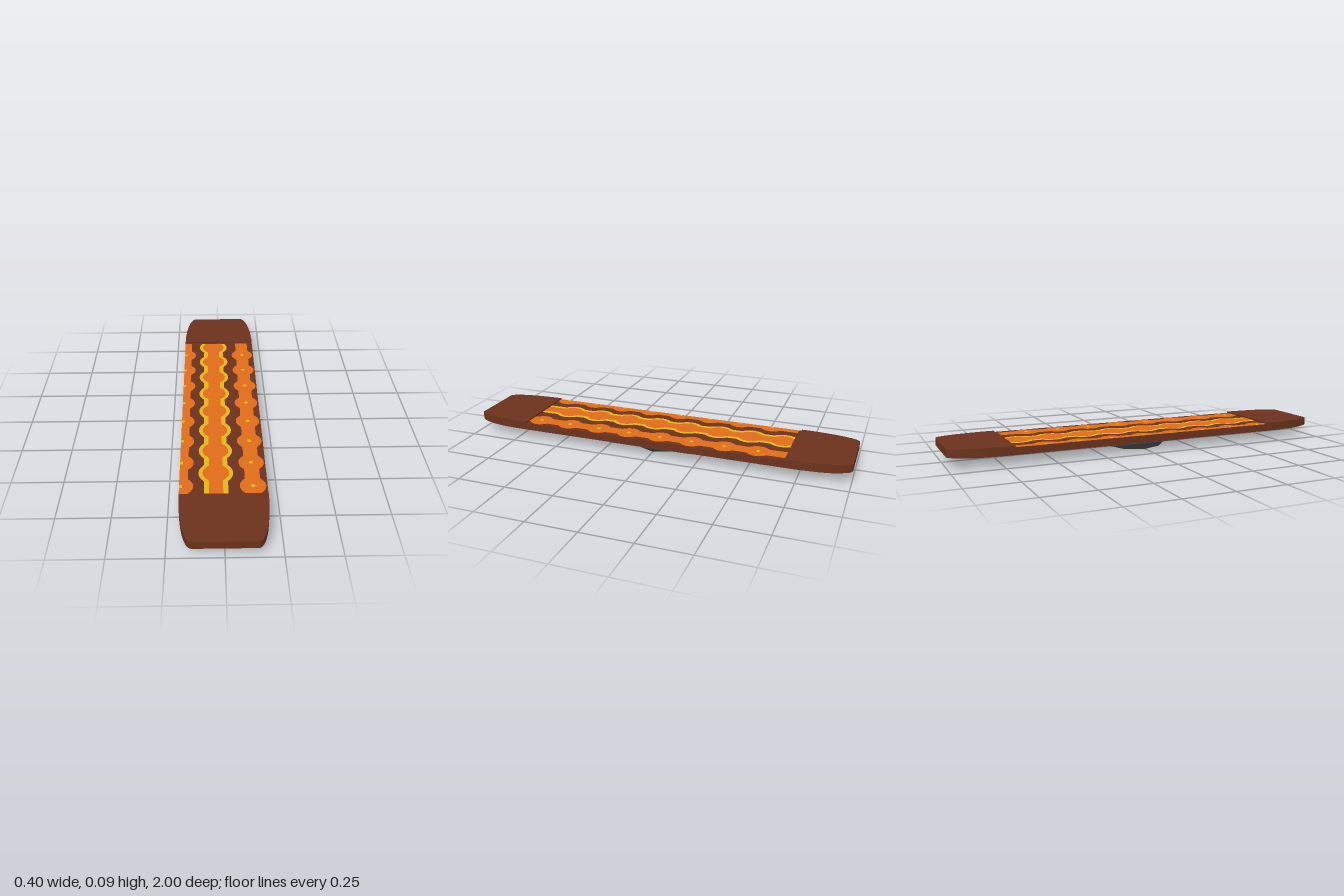
import * as THREE from 'three';

const brown = new THREE.MeshStandardMaterial({ color: 0x6b321c });
brown.name = 'brown wood';
const orange = new THREE.MeshStandardMaterial({ color: 0xe06c18 });
orange.name = 'orange paint';
const yellow = new THREE.MeshStandardMaterial({ color: 0xe4b41a });
yellow.name = 'yellow paint';
const grey = new THREE.MeshStandardMaterial({ color: 0x525252 });
grey.name = 'dark grey';

const BOTTOM = 0.048, DECK = 0.085, TOP = 0.092, PAINT = 0.0006;
const HALF_WIDTH = 0.2, CAP_START = 0.7, PITCH = 0.1695;

// Half width of the board: straight sides, elliptical shoulders at both ends
const edge = (z) => {
  const t = Math.max(0, (Math.abs(z) - CAP_START) / (1 - CAP_START));
  return 0.14 + 0.06 * Math.sqrt(Math.max(0, 1 - t * t));
};

// Horizontal slab between a left and a right edge given as functions of z
function slab(zs, left, right, y, height) {
  const outline = [
    ...zs.map((z) => new THREE.Vector2(left(z), -z)),
    ...zs.slice().reverse().map((z) => new THREE.Vector2(right(z), -z)),
  ];
  const geo = new THREE.ExtrudeGeometry(new THREE.Shape(outline), { depth: height, bevelEnabled: false });
  return geo.rotateX(-Math.PI / 2).translate(0, y, 0);
}

function range(from, to, count) {
  return Array.from({ length: count + 1 }, (_, i) => from + ((to - from) * i) / count);
}

export function createModel() {
  const model = new THREE.Group();
  const add = (name, geo, material) => {
    const mesh = new THREE.Mesh(geo, material);
    mesh.name = name;
    model.add(mesh);
  };

  // Stations that bunch up towards the rounded tips
  const capZ = range(0, Math.PI / 2, 12).map((a) => CAP_START + (1 - CAP_START) * Math.sin(a));
  const backCapZ = capZ.map((z) => -z).reverse();

  // Board, with the underside lifted slightly at the tips
  const board = slab([...backCapZ, ...capZ], (z) => -edge(z), edge, BOTTOM, DECK - BOTTOM);
  const pos = board.attributes.position;
  for (let i = 0; i < pos.count; i++) {
    if (pos.getY(i) < BOTTOM + 0.001) {
      const lift = Math.max(0, Math.abs(pos.getZ(i)) - 0.9) * 0.06;
      pos.setY(i, pos.getY(i) + lift);
    }
  }
  board.computeVertexNormals();
  add('board', board, brown);

  // Raised pads at both ends
  add('frontPad', slab(capZ, (z) => -edge(z), edge, DECK, TOP - DECK), brown);
  add('backPad', slab(backCapZ, (z) => -edge(z), edge, DECK, TOP - DECK), brown);

  // Painted chains of discs joined by narrow necks
  const paintZ = range(-0.685, CAP_START, 164);
  function chain(name, x, firstZ, radius, neck, layer, material) {
    const half = (z) => {
      const nearest = firstZ + Math.round((z - firstZ) / PITCH) * PITCH;
      const onBoard = Math.abs(nearest) < 0.66;
      const d = z - nearest;
      return Math.max(neck, onBoard ? Math.sqrt(Math.max(0, radius * radius - d * d)) : 0);
    };
    const clamp = (v) => Math.min(HALF_WIDTH, Math.max(-HALF_WIDTH, v));
    const geo = slab(paintZ, (z) => clamp(x - half(z)), (z) => clamp(x + half(z)), DECK + layer * PAINT, PAINT);
    add(name, geo, material);
  }
  const middleX = -0.033, rightX = -0.196, leftX = 0.134;
  const middleZ = -0.638, sideZ = -0.545;
  chain('middleChainBorder', middleX, middleZ, 0.08, 0.055, 0, yellow);
  chain('middleChain', middleX, middleZ, 0.061, 0.032, 1, orange);
  chain('rightChain', rightX, sideZ, 0.06, 0.035, 0, orange);
  chain('leftChain', leftX, sideZ, 0.06, 0.035, 0, orange);

  // Small yellow dots at the centres of the side discs
  const dotY = DECK + 1.5 * PAINT;
  for (let i = 0; i < 8; i++) {
    const z = sideZ + i * PITCH;
    add('leftDot', new THREE.CylinderGeometry(0.011, 0.011, PAINT, 8).translate(leftX, dotY, z), yellow);
    add('rightDot', new THREE.BoxGeometry(0.014, PAINT, 0.02).translate(-0.193, dotY, z), yellow);
  }

  // Mounting plate under the middle
  add('mountPlate', new THREE.BoxGeometry(0.4, 0.002, 0.43).translate(0, BOTTOM - 0.001, 0), grey);

  // Octagonal foot ring: inner slope down to the rim, outer slope back up
  const profile = [[0.09, BOTTOM - 0.001], [0.138, 0], [0.187, BOTTOM - 0.001]];
  const ring = new THREE.LatheGeometry(profile.map(([r, y]) => new THREE.Vector2(r, y)), 8).toNonIndexed();
  ring.computeVertexNormals();
  add('footRing', ring, grey);

  return model;
}
